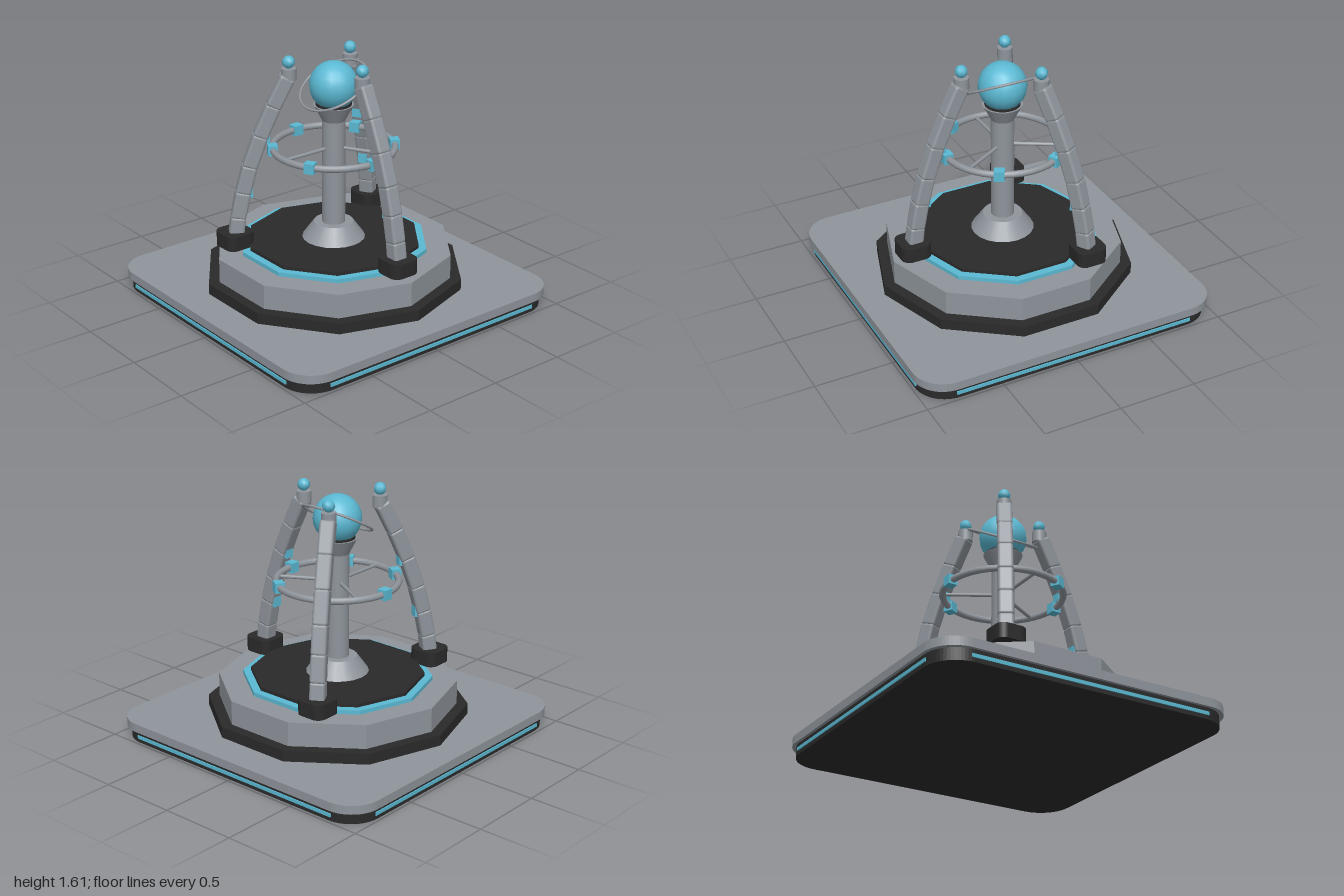
import * as THREE from 'three';
import { RoundedBoxGeometry } from 'three/addons/geometries/RoundedBoxGeometry.js';

const paint = (name, color, flatShading = false) => {
  const m = new THREE.MeshStandardMaterial({ color });
  m.name = name;
  m.flatShading = flatShading;
  return m;
};

export function createModel() {
  const grey = paint('metalGrey', 0x8f959c);
  const dark = paint('charcoal', 0x2a2a2a);
  const cyan = paint('cyan', 0x5bb9d3);

  const model = new THREE.Group();
  model.name = 'orbMonument';

  const add = (parent, name, geometry, material, x = 0, y = 0, z = 0) => {
    const mesh = new THREE.Mesh(geometry, material);
    mesh.name = name;
    mesh.position.set(x, y, z);
    parent.add(mesh);
    return mesh;
  };

  // Upright slab with a rounded square outline, standing on y = 0
  const roundedSlab = (half, radius, height) => {
    const s = new THREE.Shape();
    const c = half - radius;
    s.absarc(c, c, radius, 0, Math.PI / 2);
    s.absarc(-c, c, radius, Math.PI / 2, Math.PI);
    s.absarc(-c, -c, radius, Math.PI, Math.PI * 1.5);
    s.absarc(c, -c, radius, Math.PI * 1.5, Math.PI * 2);
    const g = new THREE.ExtrudeGeometry(s, { depth: height, bevelEnabled: false, curveSegments: 8 });
    return g.rotateX(-Math.PI / 2);
  };

  // Ten-sided step with corners on the x axis
  const decagon = (name, radius, y0, y1, material) => {
    const g = new THREE.CylinderGeometry(radius, radius, y1 - y0, 10).toNonIndexed();
    g.computeVertexNormals();
    g.rotateY(Math.PI / 10);
    add(model, name, g, material, 0, (y0 + y1) / 2);
  };

  // Square base with light strips on all four sides
  add(model, 'baseUnderside', roundedSlab(0.98, 0.2, 0.075), dark);
  add(model, 'basePlate', roundedSlab(1, 0.2, 0.055), grey, 0, 0.075);
  for (let i = 0; i < 4; i++) {
    const side = new THREE.Group();
    side.name = 'baseLight';
    side.rotation.y = i * Math.PI / 2;
    add(side, 'lightStrip', new THREE.BoxGeometry(1.6, 0.022, 0.009), cyan, 0, 0.037, 0.982);
    model.add(side);
  }

  // Stepped plinth
  decagon('plinthSkirt', 0.825, 0.13, 0.2, dark);
  decagon('plinthBody', 0.755, 0.2, 0.355, grey);
  decagon('plinthLight', 0.6, 0.355, 0.381, cyan);
  decagon('plinthTop', 0.55, 0.381, 0.402, dark);

  // Central column
  const column = new THREE.Group();
  column.name = 'column';
  model.add(column);
  add(column, 'columnFoot', new THREE.CylinderGeometry(0.125, 0.2, 0.105, 20), grey, 0, 0.4525);
  add(column, 'columnShaft', new THREE.CylinderGeometry(0.073, 0.073, 0.7, 20), grey, 0, 0.85);
  add(column, 'columnCollar', new THREE.CylinderGeometry(0.125, 0.073, 0.1, 20), grey, 0, 1.23);
  add(column, 'orbSeat', new THREE.CylinderGeometry(0.112, 0.112, 0.015, 20), dark, 0, 1.285);
  add(column, 'orb', new THREE.SphereGeometry(0.152, 16, 12), cyan, 0, 1.405);
  const halo = add(column, 'tiltedHalo', new THREE.TorusGeometry(0.225, 0.008, 8, 40), grey, 0, 1.405);
  halo.rotation.x = -Math.PI / 3;

  // Horizontal ring with six blocks and three spokes
  const ring = new THREE.Group();
  ring.name = 'middleRing';
  ring.position.y = 1.003;
  model.add(ring);
  add(ring, 'ringTube', new THREE.TorusGeometry(0.38, 0.022, 8, 40).rotateX(Math.PI / 2), grey);
  for (let i = 0; i < 6; i++) {
    const arm = new THREE.Group();
    arm.name = 'ringArm';
    arm.rotation.y = i * Math.PI / 3;
    add(arm, 'ringBlock', new THREE.BoxGeometry(0.06, 0.065, 0.065), cyan, 0.38);
    ring.add(arm);
  }
  for (let i = 0; i < 3; i++) {
    const arm = new THREE.Group();
    arm.name = 'spokeArm';
    arm.rotation.y = -Math.PI / 2 + i * Math.PI * 2 / 3;
    add(arm, 'spoke', new THREE.CylinderGeometry(0.012, 0.012, 0.32, 8).rotateZ(Math.PI / 2), grey, 0.22);
    ring.add(arm);
  }

  // Curved legs: joints given as [distance from axis, height]
  const joints = [[0.617, 0.44], [0.6, 0.57], [0.567, 0.735], [0.523, 0.905],
    [0.455, 1.1], [0.373, 1.29], [0.285, 1.47]];
  for (let i = 0; i < 3; i++) {
    const angle = i * Math.PI * 2 / 3;
    const leg = new THREE.Group();
    leg.name = 'leg';
    leg.rotation.y = angle;
    model.add(leg);

    for (let j = 0; j < joints.length - 1; j++) {
      const [x0, y0] = joints[j];
      const [x1, y1] = joints[j + 1];
      const length = Math.hypot(x1 - x0, y1 - y0) + 0.012;
      const segment = add(leg, 'legSegment', new RoundedBoxGeometry(0.095, length, 0.095, 2, 0.018),
        grey, (x0 + x1) / 2, (y0 + y1) / 2);
      segment.rotation.z = Math.atan2(x0 - x1, y1 - y0);
    }

    // Inner lights and tip
    add(leg, 'legLight', new THREE.BoxGeometry(0.04, 0.065, 0.06), cyan, 0.527, 0.735);
    add(leg, 'legLight', new THREE.BoxGeometry(0.04, 0.065, 0.06), cyan, 0.417, 1.09);
    add(leg, 'legCap', new THREE.CylinderGeometry(0.047, 0.047, 0.075, 12), grey, 0.275, 1.488);
    add(leg, 'legTip', new THREE.SphereGeometry(0.04, 8, 6), cyan, 0.275, 1.565);

    // Feet stay square to the base
    add(model, 'legFoot', roundedSlab(0.098, 0.055, 0.095), dark,
      0.623 * Math.cos(angle), 0.38, -0.623 * Math.sin(angle));
  }

  return model;
}
